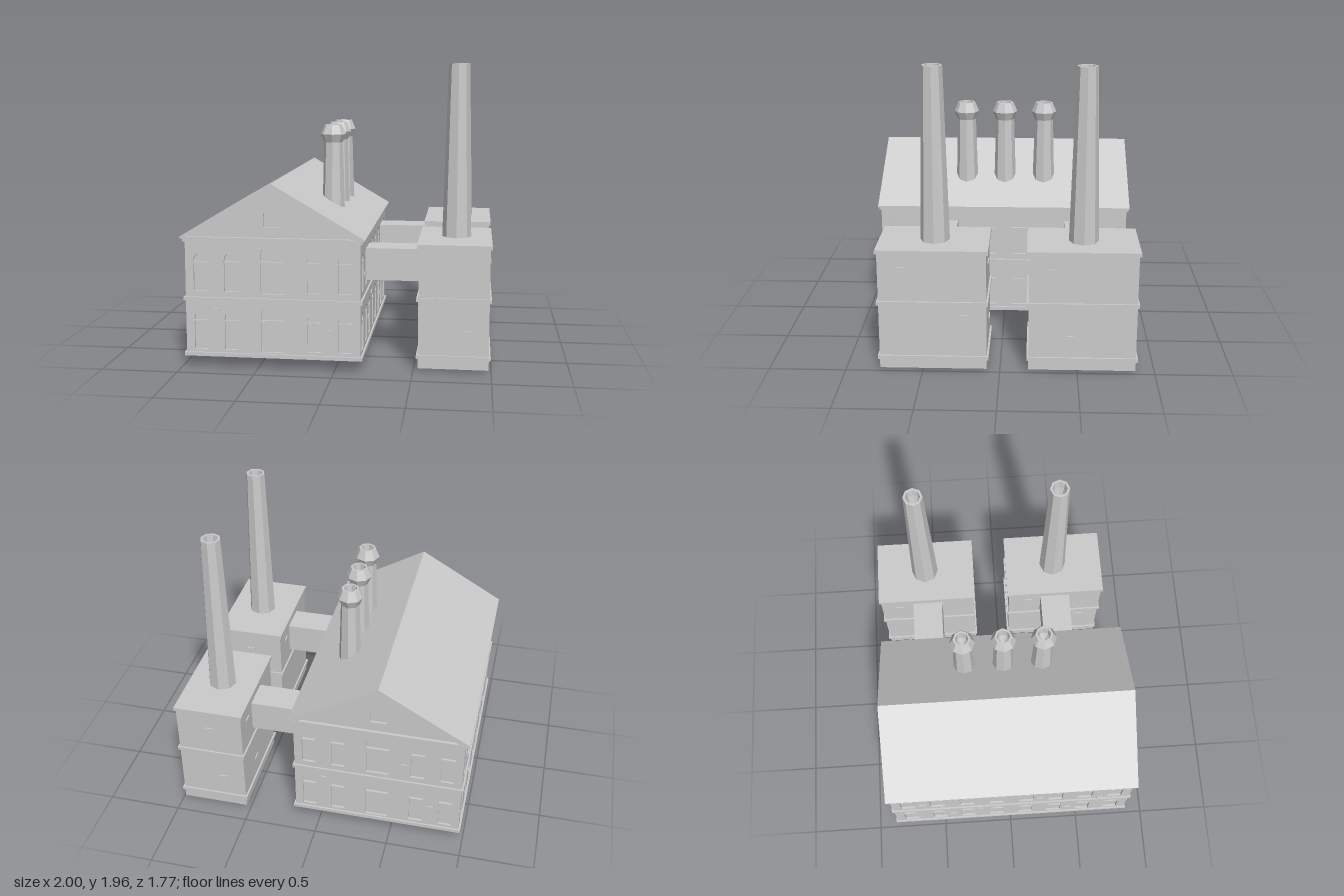
import * as THREE from 'three';

const mat = new THREE.MeshStandardMaterial({ color: 0xcccccc, flatShading: true, side: THREE.DoubleSide });
const INSET = 0.015;

function add(parent, name, geometry, x = 0, y = 0, z = 0, ry = 0) {
  const m = new THREE.Mesh(geometry, mat);
  m.name = name;
  m.position.set(x, y, z);
  m.rotation.y = ry;
  parent.add(m);
  return m;
}

// box given by its lower and upper limits
function block(parent, name, x0, x1, y0, y1, z0, z1) {
  return add(parent, name, new THREE.BoxGeometry(x1 - x0, y1 - y0, z1 - z0),
    (x0 + x1) / 2, (y0 + y1) / 2, (z0 + z1) / 2);
}

const polygon = pts => new THREE.Shape(pts.map(p => new THREE.Vector2(p[0], p[1])));
const extrude = (shape, depth) => new THREE.ExtrudeGeometry(shape, { depth, bevelEnabled: false });

function rectHole(shape, x, w, y0, y1) {
  shape.holes.push(polygon([[x - w / 2, y0], [x + w / 2, y0], [x + w / 2, y1], [x - w / 2, y1]]));
}

// opening with straight sides up to ySide and a faceted arch up to y1
function archHole(shape, x, w, y0, ySide, y1) {
  const pts = [[x - w / 2, y0], [x + w / 2, y0]];
  for (let i = 0; i <= 6; i++) {
    const a = Math.PI * i / 6;
    pts.push([x + Math.cos(a) * w / 2, ySide + Math.sin(a) * (y1 - ySide)]);
  }
  shape.holes.push(polygon(pts));
}

function smallWindow(shape, x, floor, w = 0.09) {
  rectHole(shape, x, w, floor + 0.12, floor + 0.305);
  archHole(shape, x, w, floor + 0.315, floor + 0.325, floor + 0.37);
}

function lathe(points) {
  return new THREE.LatheGeometry(points.map(p => new THREE.Vector2(p[0], p[1])), 8);
}

function mainHall() {
  const g = new THREE.Group();
  g.name = 'mainHall';
  g.position.set(-0.4, 0, 0.003);
  const hx = 0.57, hz = 0.86, floors = [0, 0.385];

  // solid core behind the window openings
  const cx = hx - INSET, cz = hz - INSET;
  add(g, 'hallCore', extrude(polygon([[-cx, 0.08], [cx, 0.08], [cx, 0.85], [0, 1.18], [-cx, 0.85]]), cz * 2), 0, 0, -cz);

  // gable walls
  const gable = polygon([[-hx, 0.08], [hx, 0.08], [hx, 0.85], [0, 1.19], [-hx, 0.85]]);
  for (const f of floors) {
    for (const x of [-0.47, -0.27, 0.27, 0.47]) smallWindow(gable, x, f);
    rectHole(gable, 0, 0.15, f + 0.11, f + 0.305);
    archHole(gable, 0, 0.15, f + 0.32, f + 0.375, f + 0.42);
  }
  archHole(gable, 0, 0.11, 0.93, 1.005, 1.045);
  const gableGeo = extrude(gable, INSET);
  add(g, 'frontWall', gableGeo, 0, 0, cz);
  add(g, 'backWall', gableGeo, 0, 0, -cz, Math.PI);

  // long walls
  const side = polygon([[-hz, 0.08], [hz, 0.08], [hz, 0.85], [-hz, 0.85]]);
  for (const f of floors) for (let i = 0; i < 8; i++) smallWindow(side, (i - 3.5) * 0.213, f, 0.1);
  const sideGeo = extrude(side, INSET);
  add(g, 'leftWall', sideGeo, cx, 0, 0, Math.PI / 2);
  add(g, 'rightWall', sideGeo, -cx, 0, 0, -Math.PI / 2);

  // horizontal bands
  for (const [name, y0, y1, o] of [['baseBand', 0.075, 0.1, 0.012], ['middleBand', 0.44, 0.466, 0.012],
    ['lowerCornice', 0.83, 0.85, 0.012], ['upperCornice', 0.848, 0.862, 0.02]])
    block(g, name, -hx - o, hx + o, y0, y1, -hz - o, hz + o);

  // pitched roof slab
  const roof = polygon([[-0.6, 0.852], [-0.55, 0.852], [0, 1.185], [0.55, 0.852], [0.6, 0.852], [0.6, 0.862], [0, 1.21], [-0.6, 0.862]]);
  add(g, 'roof', extrude(roof, 1.756), 0, 0, -0.878);

  // single raised bricks between the windows
  for (const s of [-1, 1])
    for (const [z, y] of [[-0.64, 0.5], [-0.2, 0.6], [0.22, 0.385], [0.43, 0.26], [-0.42, 0.23], [0.64, 0.6]])
      add(g, 'brick', new THREE.BoxGeometry(0.02, 0.018, 0.045), s * hx, y, s * z);
  for (const s of [-1, 1])
    for (const [x, y] of [[0.18, 0.6], [-0.37, 0.385], [0.37, 0.26]])
      add(g, 'brick', new THREE.BoxGeometry(0.04, 0.018, 0.016), s * x, y, s * hz);

  // flared roof chimneys
  for (const z of [-0.278, -0.003, 0.268])
    add(g, 'roofChimney', lathe([[0, 0.95], [0.078, 0.95], [0.064, 1.43], [0.087, 1.485], [0.059, 1.55], [0.045, 1.55], [0.04, 1.48], [0, 1.4]]), 0.316, 0, z);
  return g;
}

function tower(z, bricks) {
  const g = new THREE.Group();
  g.name = 'tower';
  g.position.set(0.757, 0, z);
  const hx = 0.227, hz = 0.346;

  // body, open below where the chimney passes through
  const plan = polygon([[-hx, -hz], [hx, -hz], [hx, hz], [-hx, hz]]);
  const hole = [];
  for (let i = 0; i < 8; i++) hole.push([Math.cos(i * Math.PI / 4) * 0.095, Math.sin(i * Math.PI / 4) * 0.095]);
  plan.holes.push(polygon(hole));
  const body = extrude(plan, 0.79);
  body.rotateX(-Math.PI / 2);
  add(g, 'towerBody', body, 0, 0.015, 0);

  // bands as rings around the body, and the roof slab
  for (const y of [0.08, 0.455]) {
    for (const s of [-1, 1]) {
      add(g, 'towerBand', new THREE.BoxGeometry(hx * 2 + 0.024, 0.025, 0.024), 0, y + 0.0125, s * hz);
      add(g, 'towerBand', new THREE.BoxGeometry(0.024, 0.025, hz * 2), s * hx, y + 0.0125, 0);
    }
  }
  block(g, 'towerRoof', -0.238, 0.238, 0.8, 0.825, -hz - 0.012, hz + 0.012);

  // tall tapered chimney
  add(g, 'tallChimney', lathe([[0, 0.2], [0.1, 0.1], [0.1, 0], [0.118, 0], [0.066, 1.96], [0.05, 1.96], [0.045, 1.9], [0, 1.7]]), 0.006, 0, -0.005);

  // raised bricks
  for (const s of [-1, 1]) {
    for (const [x, y] of [[0, 0.675], [0.075, 0.26]])
      add(g, 'brick', new THREE.BoxGeometry(0.058, 0.018, 0.016), s * x, y, s * hz);
    for (const [bz, y] of bricks)
      add(g, 'brick', new THREE.BoxGeometry(0.016, 0.018, 0.058), s * hx, y, s * bz);
  }
  return g;
}

export function createModel() {
  const model = new THREE.Group();
  model.name = 'factory';
  model.add(mainHall());
  model.add(tower(0.43, [[0.2, 0.7], [-0.2, 0.38]]));
  model.add(tower(-0.53, [[0.21, 0.7], [0.08, 0.245]]));
  // covered bridges from hall to towers
  for (const z of [0.43, -0.53]) block(model, 'bridge', 0.16, 0.54, 0.535, 0.75, z - 0.107, z + 0.107);
  return model;
}
